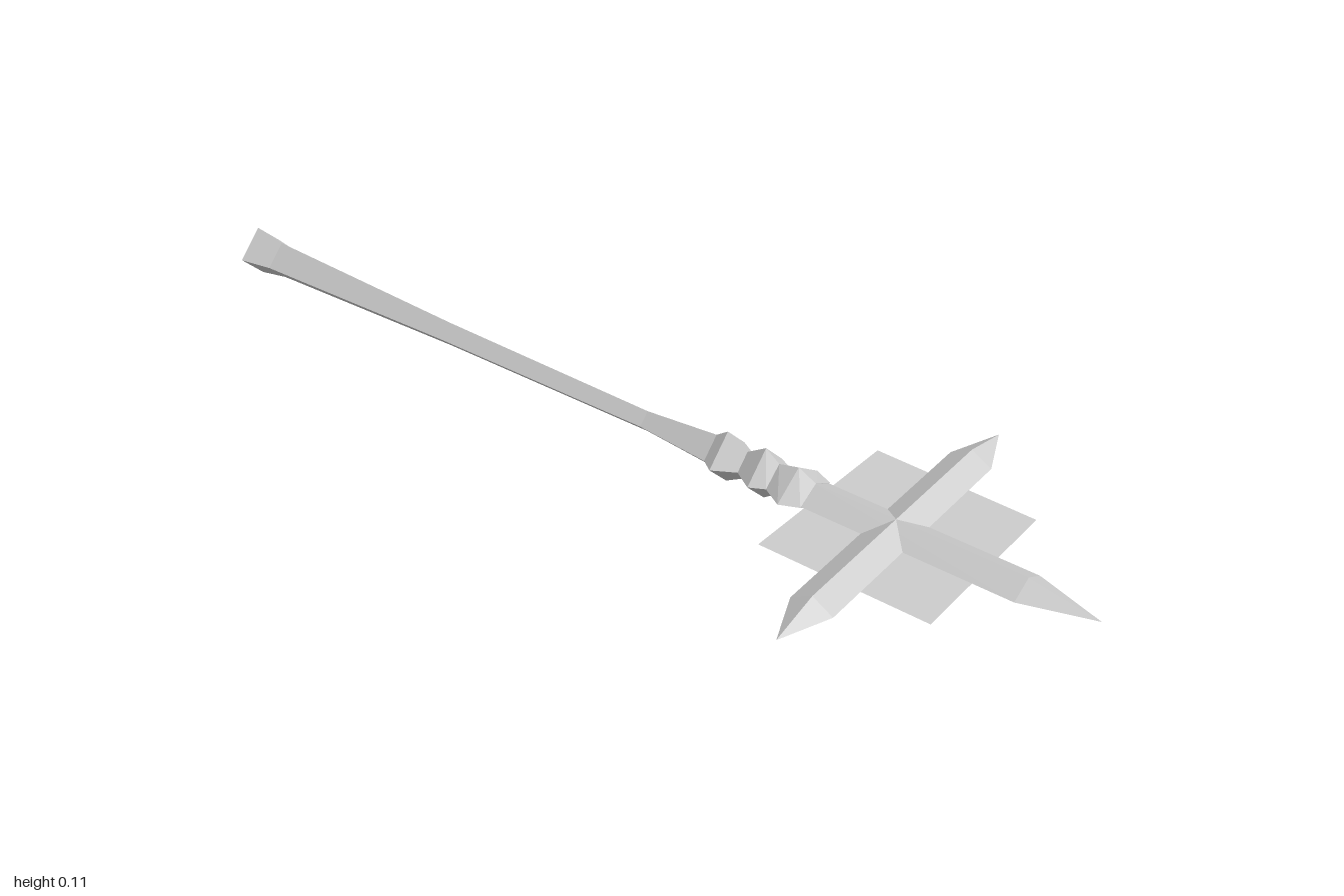
import * as THREE from 'three';

const AXIS_Y = 0.0575;

// Diamond-section loft along x; each station is [x, halfHeight, halfWidth]
function diamondLoft(stations) {
  const pos = [];
  const rings = stations.map(([x, h, w]) => [[x, h, 0], [x, 0, w], [x, -h, 0], [x, 0, -w]]);
  const tri = (a, b, c) => pos.push(...a, ...b, ...c);
  for (let k = 0; k < rings.length - 1; k++) {
    const p = rings[k], q = rings[k + 1];
    for (let i = 0; i < 4; i++) {
      const j = (i + 1) % 4;
      if (stations[k][1] > 0) tri(p[i], p[j], q[j]);
      if (stations[k + 1][1] > 0) tri(p[i], q[j], q[i]);
      else if (stations[k][1] === 0) continue;
    }
  }
  // End caps where the section is not a point
  const s = rings[0], e = rings[rings.length - 1];
  if (stations[0][1] > 0) { tri(s[0], s[2], s[1]); tri(s[0], s[3], s[2]); }
  if (stations[stations.length - 1][1] > 0) { tri(e[0], e[1], e[2]); tri(e[0], e[2], e[3]); }
  const geo = new THREE.BufferGeometry();
  geo.setAttribute('position', new THREE.Float32BufferAttribute(pos, 3));
  geo.computeVertexNormals();
  return geo;
}

export function createModel() {
  const group = new THREE.Group();
  group.name = 'mace';
  const steel = new THREE.MeshStandardMaterial({ color: 0xcccccc, flatShading: true, side: THREE.DoubleSide });
  steel.name = 'pale steel';

  const add = (name, geo) => {
    const mesh = new THREE.Mesh(geo, steel);
    mesh.name = name;
    mesh.position.y = AXIS_Y;
    group.add(mesh);
    return mesh;
  };

  // Handle with flared pommel, tapering grip and two ridges
  add('handle', diamondLoft([
    [-1, 0.055, 0.055], [-0.93, 0.042, 0.042], [-0.45, 0.027, 0.027], [0.05, 0.023, 0.023],
    [0.21, 0.038, 0.038], [0.235, 0.056, 0.056], [0.28, 0.03, 0.03], [0.32, 0.056, 0.056],
    [0.35, 0.034, 0.04],
  ]));

  // Collar joining the handle to the head
  add('collar', diamondLoft([[0.35, 0.034, 0.04], [0.392, 0.045, 0.065], [0.43, 0.026, 0.048]]));

  // Long spike and the crossing pair of spikes
  add('frontSpike', diamondLoft([[0.42, 0.025, 0.045], [0.86, 0.025, 0.045], [1, 0, 0]]));
  const cross = add('crossSpikes', diamondLoft([
    [-0.37, 0, 0], [-0.265, 0.025, 0.043], [0.265, 0.025, 0.043], [0.37, 0, 0],
  ]));
  cross.rotation.y = Math.PI / 2;
  cross.position.x = 0.598;

  // Thin plate filling the angles between the spikes (shape y becomes -z)
  const outline = [[0.43, -0.18], [0.778, -0.18], [0.78, 0.18], [0.445, 0.187]];
  const plate = new THREE.ShapeGeometry(new THREE.Shape(outline.map(([x, y]) => new THREE.Vector2(x, y))));
  plate.rotateX(-Math.PI / 2);
  add('headPlate', plate);

  return group;
}
